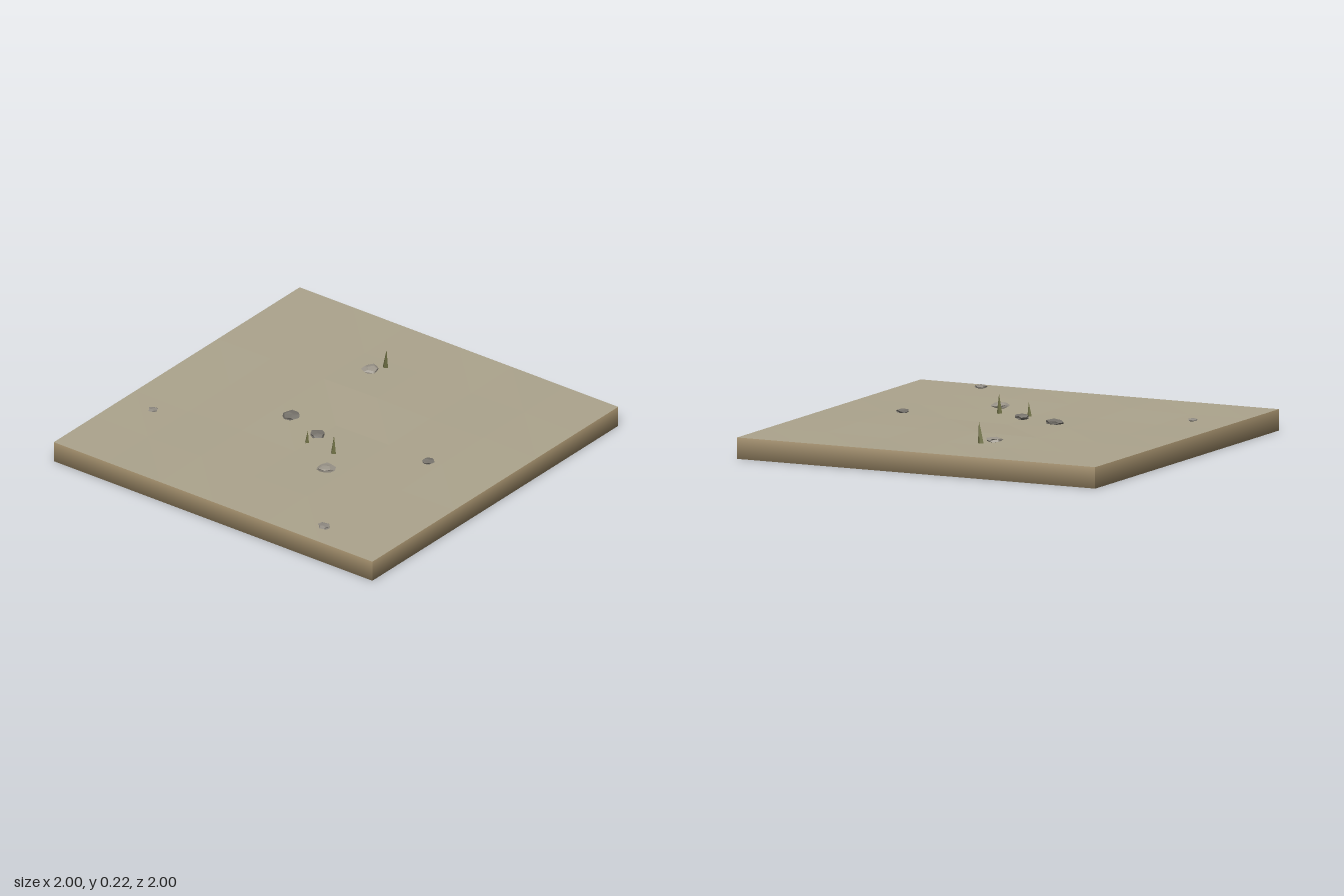
import * as THREE from 'three';

const H = 0.11; // ground height

// small repeatable pseudo-random value in -1..1
const noise = (a, b, c = 0) => {
  const s = Math.sin(a * 12.99 + b * 78.23 + c * 37.72) * 43758.5453;
  return (s - Math.floor(s)) * 2 - 1;
};

const flat = (color) => new THREE.MeshStandardMaterial({ color, flatShading: true });

function add(group, name, geometry, material) {
  const mesh = new THREE.Mesh(geometry, material);
  mesh.name = name;
  group.add(mesh);
  return mesh;
}

// slab of earth: side normals tip up and down for a soft edge
function makeSlab() {
  const geo = new THREE.BoxGeometry(2, H - 0.002, 2);
  const pos = geo.attributes.position, nor = geo.attributes.normal;
  const n = new THREE.Vector3();
  for (let i = 0; i < pos.count; i++) {
    n.fromBufferAttribute(nor, i);
    if (n.y === 0) {
      n.y = pos.getY(i) > 0 ? 0.5 : -0.5;
      n.normalize();
      nor.setXYZ(i, n.x, n.y, n.z);
    }
  }
  // leave the top open for the faceted ground
  const index = Array.from(geo.index.array);
  index.splice(12, 6);
  geo.setIndex(index);
  return geo.translate(0, (H - 0.002) / 2, 0);
}

// faceted ground: a 6 x 6 grid with slightly uneven inner points
function makeGround() {
  const geo = new THREE.PlaneGeometry(2, 2, 6, 6).rotateX(-Math.PI / 2);
  const pos = geo.attributes.position;
  for (let i = 0; i < pos.count; i++) {
    const x = pos.getX(i), z = pos.getZ(i);
    const edge = Math.max(Math.abs(x), Math.abs(z)) > 0.99;
    const col = Math.round(x * 3), row = Math.round(z * 3);
    pos.setY(i, H - 0.002 + (edge ? 0 : noise(col, row) * 0.006));
  }
  return geo;
}

// flattened, uneven pebble; coincident corners move together
function makeRock(r, seed) {
  const geo = new THREE.DodecahedronGeometry(r, 0);
  const pos = geo.attributes.position;
  for (let i = 0; i < pos.count; i++) {
    const [x, y, z] = [pos.getX(i), pos.getY(i), pos.getZ(i)];
    const k = (v) => Math.round(v / r * 10);
    const s = 1 + 0.14 * noise(k(x) + seed, k(y), k(z));
    pos.setXYZ(i, x * s, y * s * 0.33, z * s);
  }
  geo.computeVertexNormals();
  return geo;
}

// four-sided blade whose tip leans by dx, dz
function makeBlade(r, h, dx, dz) {
  const geo = new THREE.ConeGeometry(r, h, 4).translate(0, h / 2, 0);
  const pos = geo.attributes.position;
  for (let i = 0; i < pos.count; i++) {
    const t = pos.getY(i) / h;
    pos.setX(i, pos.getX(i) + dx * t);
    pos.setZ(i, pos.getZ(i) + dz * t);
  }
  return geo;
}

export function createModel() {
  const group = new THREE.Group();

  // ground tile
  add(group, 'slab', makeSlab(), new THREE.MeshStandardMaterial({ color: 0x9a8766 }));
  add(group, 'ground', makeGround(), flat(0xaca48d));

  // scattered rocks: x, z, radius, colour
  [
    [-0.45, -0.8, 0.026, 0x8f8a82],
    [-0.08, -0.22, 0.047, 0x77736c],
    [0.54, -0.2, 0.042, 0x9c968b],
    [-0.15, 0, 0.043, 0x77736c],
    [-0.4, 0.245, 0.046, 0x9c968b],
    [-0.875, 0.6, 0.032, 0x8f8a82],
    [-0.035, 0.605, 0.034, 0x77736c],
  ].forEach(([x, z, r, color], i) => {
    const rock = add(group, 'rock', makeRock(r, i + 1), flat(color));
    rock.position.set(x, H + 0.01, z);
    rock.rotation.y = i * 1.3;
  });

  // dry grass blades: x, z, radius, height, lean x, lean z
  [
    [-0.24, 0.17, 0.015, 0.1, 0, 0.003],
    [-0.235, 0, 0.012, 0.07, -0.002, 0.006],
    [0.614, -0.163, 0.016, 0.11, -0.015, 0.018],
  ].forEach(([x, z, r, h, dx, dz]) => {
    const blade = add(group, 'grassBlade', makeBlade(r, h, dx, dz), flat(0x6f7045));
    blade.position.set(x, H, z);
  });

  return group;
}
